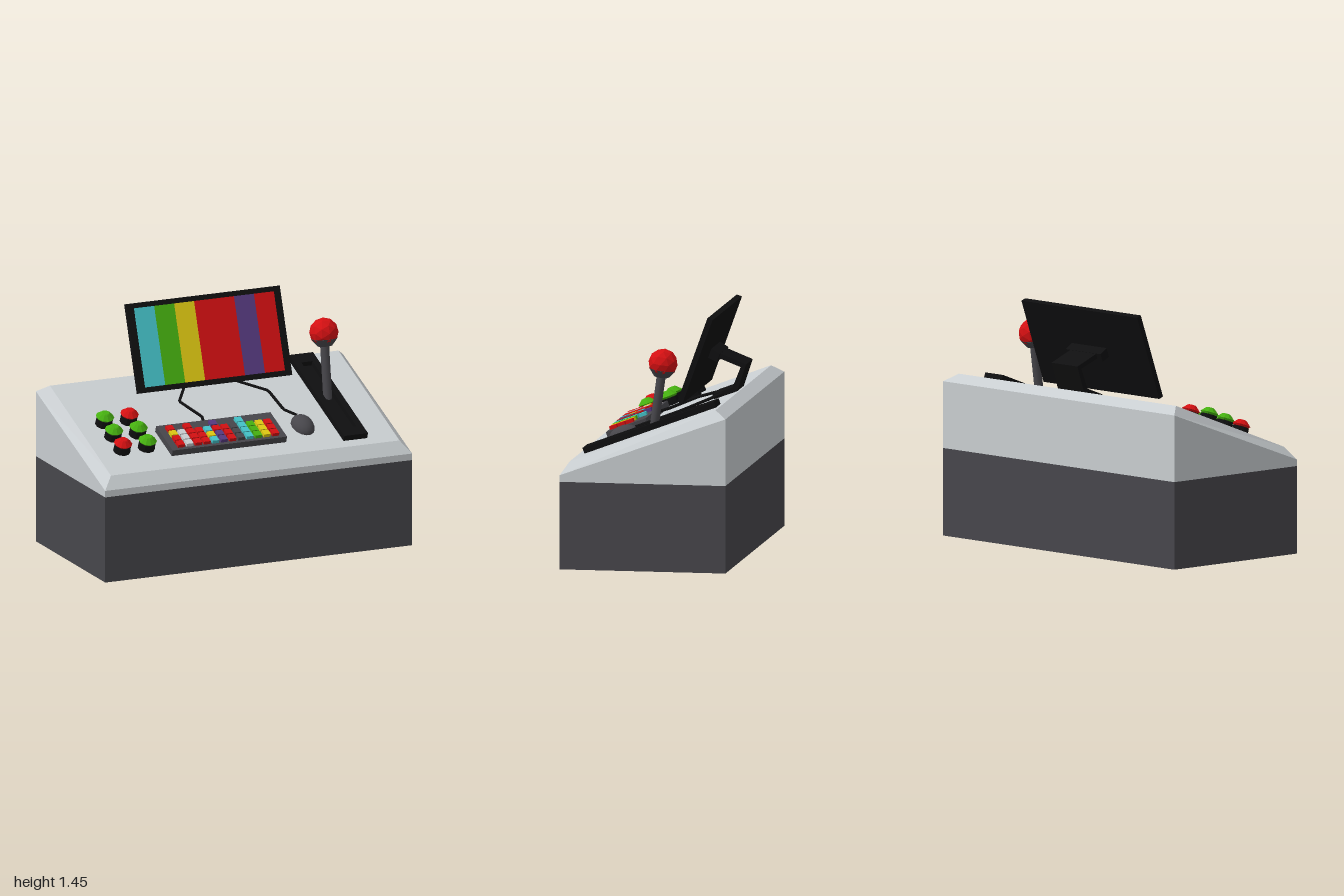
import * as THREE from 'three';

const mat = (name, color) => {
  const m = new THREE.MeshStandardMaterial({ color });
  m.name = name;
  return m;
};

// Faceted normals for low-poly parts
function flat(g) {
  const f = g.index ? g.toNonIndexed() : g;
  f.computeVertexNormals();
  return f;
}

function add(parent, name, geometry, material, x = 0, y = 0, z = 0) {
  const m = new THREE.Mesh(geometry, material);
  m.name = name;
  m.position.set(x, y, z);
  parent.add(m);
  return m;
}

function group(parent, name, x = 0, y = 0, z = 0, tilt = 0) {
  const g = new THREE.Group();
  g.name = name;
  g.position.set(x, y, z);
  g.rotation.x = tilt;
  parent.add(g);
  return g;
}

// Four-cornered rings joined by side faces, closed on top
function loftRings(rings) {
  const pos = [];
  const quad = (a, b, c, d) => pos.push(...a, ...b, ...c, ...a, ...c, ...d);
  for (let r = 0; r < rings.length - 1; r++) {
    for (let i = 0; i < 4; i++) {
      const j = (i + 1) % 4;
      quad(rings[r][i], rings[r][j], rings[r + 1][j], rings[r + 1][i]);
    }
  }
  quad(...rings[rings.length - 1]);
  const g = new THREE.BufferGeometry();
  g.setAttribute('position', new THREE.Float32BufferAttribute(pos, 3));
  g.computeVertexNormals();
  return g;
}

const ring = (x, zFront, yFront, zBack, yBack) => [
  [-x, yFront, zFront], [x, yFront, zFront], [x, yBack, zBack], [-x, yBack, zBack],
];

// Side profile given as [z, y] points, extruded across x
function sideExtrude(points, width) {
  const s = new THREE.Shape(points.map(([z, y]) => new THREE.Vector2(-z, y)));
  const g = new THREE.ExtrudeGeometry(s, { depth: width, bevelEnabled: false });
  g.translate(0, 0, -width / 2);
  g.rotateY(Math.PI / 2);
  return g;
}

function cable(points) {
  const path = new THREE.CurvePath();
  const p = points.map((q) => new THREE.Vector3(...q));
  for (let i = 1; i < p.length; i++) path.add(new THREE.LineCurve3(p[i - 1], p[i]));
  return new THREE.TubeGeometry(path, 30, 0.009, 6);
}

export function createModel() {
  const light = mat('light grey', 0xc8cdd0);
  const dark = mat('dark grey', 0x47464b);
  const black = mat('black', 0x0f0f10);
  const red = mat('red', 0xd41012);
  const green = mat('green', 0x46b010);
  const yellow = mat('yellow', 0xdec812);
  const cyan = mat('cyan', 0x44c2c8);
  const purple = mat('purple', 0x563a80);

  const model = new THREE.Group();
  model.name = 'controlConsole';

  // Cabinet
  add(model, 'cabinetBase', new THREE.BoxGeometry(2, 0.525, 1), dark, 0, 0.2625, 0);
  add(model, 'cabinetTop', loftRings([
    ring(1, 0.5, 0.525, -0.5, 0.525),
    ring(1, 0.5, 0.565, -0.5, 0.925),
    ring(0.94, 0.45, 0.64, -0.43, 0.97),
  ]), light);

  // Everything on the sloping panel: local y is height above it, z runs down the slope
  const slope = Math.atan2(0.33, 0.88);
  const panel = group(model, 'slopingPanel', 0, 0.809, 0, slope);

  // Push buttons
  const baseGeo = flat(new THREE.CylinderGeometry(0.05, 0.052, 0.045, 10));
  const capGeo = flat(new THREE.LatheGeometry([
    [0.035, 0.035], [0.056, 0.057], [0.028, 0.083], [0.022, 0.087], [0, 0.087],
  ].map(([x, y]) => new THREE.Vector2(x, y)), 10));
  const buttonColours = [[green, green, red], [red, green, green]];
  buttonColours.forEach((column, c) => column.forEach((colour, r) => {
    const b = group(panel, 'pushButton', -0.775 + c * 0.16, 0, -0.022 + r * 0.139);
    add(b, 'buttonBase', baseGeo, black, 0, 0.0225, 0);
    add(b, 'buttonCap', capGeo, colour);
  }));

  // Keyboard
  const keyboard = group(panel, 'keyboard', 0, 0, 0);
  add(keyboard, 'keyboardBody', new THREE.BoxGeometry(0.745, 0.04, 0.256), dark, -0.122, 0.02, 0.236);
  const keyGeo = new THREE.BoxGeometry(0.043, 0.022, 0.045);
  const keyColumns = [
    [red, yellow, red, red], [null, light, light, light], [red, red, red, red],
    [null, red, red, red], [null, cyan, yellow, cyan], [purple, red, purple, purple],
    [null, red, red, red], [null, dark, dark, dark], [cyan, cyan, cyan, cyan],
    [null, green, green, green], [null, yellow, yellow, yellow], [null, red, red, red],
  ];
  keyColumns.forEach((column, c) => column.forEach((colour, r) => {
    if (colour) add(keyboard, 'key', keyGeo, colour, -0.43 + c * 0.0559, 0.05, 0.164 + r * 0.0525);
  }));

  // Mouse
  const mouseGeo = new THREE.SphereGeometry(1, 14, 6, 0, Math.PI * 2, 0, Math.PI / 2);
  mouseGeo.scale(0.068, 0.06, 0.094);
  add(panel, 'mouse', mouseGeo, dark, 0.415, 0, 0.23);

  // Cables running to the screen stand
  add(panel, 'keyboardCable', cable([
    [-0.18, 0.02, 0.12], [-0.165, 0.018, 0.04], [-0.24, 0.02, -0.13], [-0.06, 0.015, -0.4],
  ]), black);
  add(panel, 'mouseCable', cable([
    [0.41, 0.025, 0.15], [0.355, 0.02, 0.07], [0.34, 0.02, -0.13], [0.04, 0.015, -0.4],
  ]), black);

  // Lever slot: raised frame around a groove
  const frame = new THREE.Shape([[-0.077, -0.42], [0.077, -0.42], [0.077, 0.427], [-0.077, 0.427]]
    .map((p) => new THREE.Vector2(...p)));
  frame.holes.push(new THREE.Path([[-0.036, -0.34], [-0.036, 0.34], [0.036, 0.34], [0.036, -0.34]]
    .map((p) => new THREE.Vector2(...p))));
  const frameGeo = new THREE.ExtrudeGeometry(frame, { depth: 0.036, bevelEnabled: false });
  frameGeo.rotateX(-Math.PI / 2);
  add(panel, 'leverFrame', frameGeo, black, 0.678, 0, 0);
  add(panel, 'leverGroove', new THREE.BoxGeometry(0.09, 0.006, 0.7), black, 0.678, 0.003, 0);

  // Lever
  const lever = group(model, 'lever', 0.681, 0.8, -0.01, -0.14);
  add(lever, 'leverRod', new THREE.CylinderGeometry(0.027, 0.027, 0.34, 12), dark, 0, 0.17, 0);
  add(lever, 'leverCollar', flat(new THREE.CylinderGeometry(0.08, 0.045, 0.045, 12)), dark, 0, 0.35, 0);
  add(lever, 'leverKnob', flat(new THREE.IcosahedronGeometry(0.088, 1)), red, 0, 0.41, 0);

  // Screen with colour bars
  const screen = group(model, 'screen', 0, 1.197, -0.227, -0.345);
  add(screen, 'screenCase', new THREE.BoxGeometry(1, 0.536, 0.033), black);
  const barGeo = new THREE.BoxGeometry(0.13, 0.475, 0.006);
  [cyan, green, yellow, red, red, purple, red].forEach((colour, i) => {
    add(screen, 'colourBar', barGeo, colour, (i - 3) * 0.13, 0, 0.0175);
  });

  // Screen stand
  const stand = group(model, 'screenStand', -0.012, 0, 0);
  add(stand, 'standHead', sideExtrude([
    [-0.262, 1.22], [-0.242, 1.165], [-0.295, 1.14], [-0.312, 1.188],
  ], 0.3), black);
  add(stand, 'standArm', sideExtrude([
    [-0.29, 1.195], [-0.465, 1.125], [-0.41, 0.96], [-0.365, 0.94],
    [-0.385, 0.99], [-0.432, 1.108], [-0.29, 1.163],
  ], 0.225), black);
  add(panel, 'standFoot', new THREE.BoxGeometry(0.225, 0.03, 0.14), black, -0.012, 0.015, -0.36);

  return model;
}
